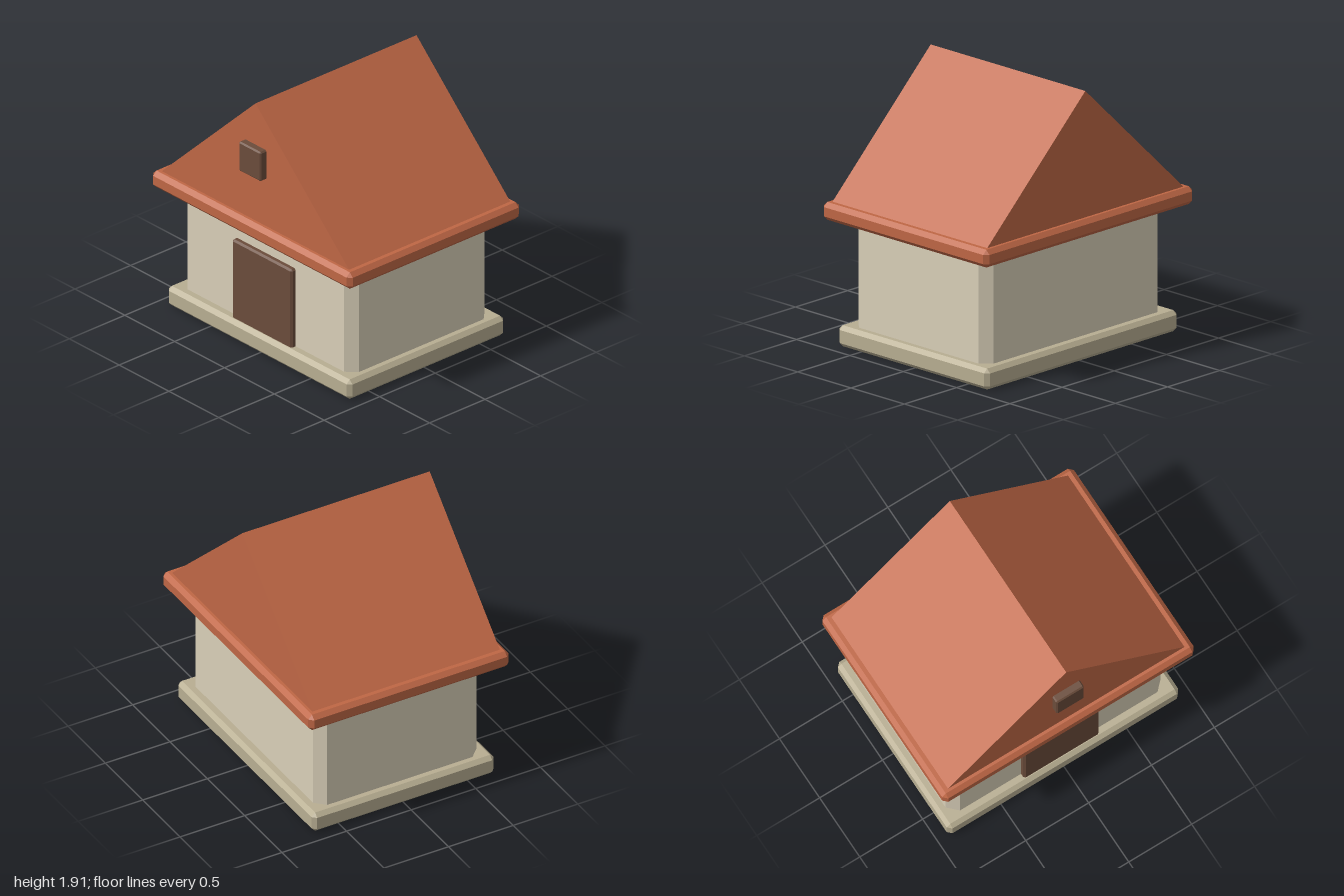
import * as THREE from 'three';
import { ConvexGeometry } from 'three/addons/geometries/ConvexGeometry.js';

const Z = -0.004; // small shift that centres the house front to back

const mat = (name, color) => {
  const m = new THREE.MeshStandardMaterial({ color });
  m.name = name;
  return m;
};

// Box between two corners with every edge chamfered by b
function chamferBox([x0, y0, z0], [x1, y1, z1], b) {
  const pts = [];
  for (const [x, sx] of [[x0, b], [x1, -b]])
    for (const [y, sy] of [[y0, b], [y1, -b]])
      for (const [z, sz] of [[z0, b], [z1, -b]])
        pts.push(
          new THREE.Vector3(x, y + sy, z + sz),
          new THREE.Vector3(x + sx, y, z + sz),
          new THREE.Vector3(x + sx, y + sy, z));
  return new ConvexGeometry(pts);
}

// Outline in x and y, pushed along z from -d to d
function prism(points, d) {
  const shape = new THREE.Shape(points.map(([x, y]) => new THREE.Vector2(x, y)));
  return new THREE.ExtrudeGeometry(shape, { depth: 2 * d, bevelEnabled: false }).translate(0, 0, -d);
}

export function createModel() {
  const house = new THREE.Group();
  house.name = 'house';
  const plaster = mat('plaster', 0xd9cfb8);
  const stone = mat('stone', 0xb8ae92);
  const tile = mat('roofTile', 0xbf6745);
  const wood = mat('darkWood', 0x6b4c3b);

  const add = (name, geometry, material) => {
    const mesh = new THREE.Mesh(geometry, material);
    mesh.name = name;
    mesh.position.z = Z;
    house.add(mesh);
  };

  // Foundation slab
  add('foundation', chamferBox([-0.92, 0.002, -0.705], [0.92, 0.15, 0.705], 0.028), stone);

  // Walls: rectangle with cut corners, raised upright
  const w = 0.855, d = 0.632, c = 0.07;
  const plan = [[-w + c, -d], [w - c, -d], [w, -d + c], [w, d - c],
    [w - c, d], [-w + c, d], [-w, d - c], [-w, -d + c]];
  add('walls', prism(plan, 0.4).rotateX(-Math.PI / 2).translate(0, 0.53, 0), plaster);

  // Eaves and gabled roof
  add('eaves', chamferBox([-1, 0.895, -0.776], [1, 1.02, 0.776], 0.03), tile);
  add('roof', prism([[-0.945, 1.015], [0.945, 1.015], [0, 1.91]], 0.725), tile);

  // Door and attic shutter
  add('door', chamferBox([-0.3, 0, 0.61], [0.3, 0.74, 0.671], 0.013), wood);
  add('atticShutter', chamferBox([-0.11, 1.375, 0.67], [0.11, 1.597, 0.78], 0.01), wood);

  return house;
}
